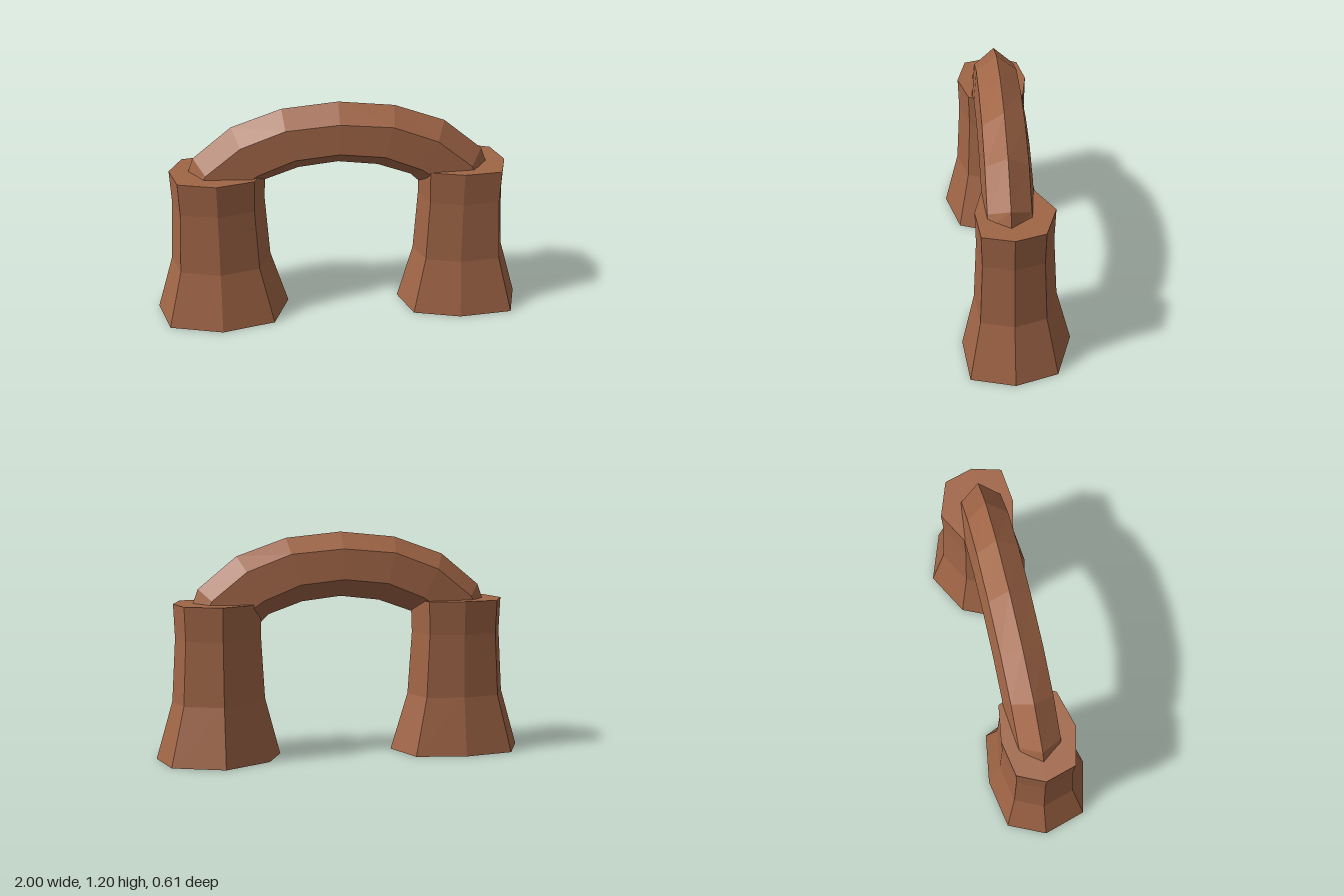
import * as THREE from 'three';

const stone = new THREE.MeshStandardMaterial({ color: 0xa06546, flatShading: true });
stone.name = 'red brown stone';

// Skin a list of closed rings (counter-clockwise about the direction of travel) and cap both ends.
function loft(rings, name) {
  const n = rings[0].length;
  const pos = [];
  const tri = (a, b, c) => pos.push(...a, ...b, ...c);
  for (let r = 0; r < rings.length - 1; r++) {
    const a = rings[r], b = rings[r + 1];
    for (let i = 0; i < n; i++) {
      const j = (i + 1) % n;
      tri(a[i], a[j], b[j]);
      tri(a[i], b[j], b[i]);
    }
  }
  const first = rings[0], last = rings[rings.length - 1];
  for (let i = 1; i < n - 1; i++) {
    tri(first[0], first[i + 1], first[i]);
    tri(last[0], last[i], last[i + 1]);
  }
  const geometry = new THREE.BufferGeometry();
  geometry.setAttribute('position', new THREE.Float32BufferAttribute(pos, 3));
  geometry.computeVertexNormals();
  const mesh = new THREE.Mesh(geometry, stone);
  mesh.name = name;
  return mesh;
}

// Pillar: an uneven octagonal footprint, shrunk about its centre at each height.
const LEVELS = [[0, 1], [0.31, 0.745], [0.65, 0.685], [0.83, 0.705]];
function pillar(name, centre, footprint) {
  const rings = LEVELS.map(([y, s]) =>
    footprint.map(([x, z]) => [centre + (x - centre) * s, y, z * s]));
  return loft(rings, name);
}

// Arch: six-sided section; each station gives [x, y] of ridge, shoulder, lower edge and underside.
const STATIONS = [
  [[0, 1.2], [0, 1.115], [0, 0.955], [0, 0.855]],
  [[0.295, 1.17], [0.28, 1.09], [0.235, 0.93], [0.21, 0.83]],
  [[0.56, 1.075], [0.515, 1.0], [0.43, 0.85], [0.39, 0.765]],
  [[0.765, 0.905], [0.7, 0.85], [0.585, 0.74], [0.51, 0.65]],
  [[0.8, 0.81], [0.73, 0.79], [0.62, 0.7], [0.54, 0.62]],
];
function arch() {
  const ring = ([ridge, shoulder, lower, under], side) => [
    [ridge, 0.01], [shoulder, 0.12], [lower, 0.137],
    [under, 0.005], [lower, -0.125], [shoulder, -0.097],
  ].map(([[x, y], z]) => [x * side, y, z]);
  const leftHalf = STATIONS.map((s) => ring(s, 1));
  const rightHalf = STATIONS.slice(1).reverse().map((s) => ring(s, -1));
  return loft([...rightHalf, ...leftHalf], 'arch');
}

export function createModel() {
  const model = new THREE.Group();
  model.name = 'stoneArch';
  model.add(
    pillar('rightPillar', -0.645, [
      [-0.28, 0], [-0.375, -0.21], [-0.645, -0.25], [-0.91, -0.2],
      [-1, 0], [-0.93, 0.23], [-0.645, 0.3], [-0.365, 0.225],
    ]),
    pillar('leftPillar', 0.65, [
      [1, 0], [0.93, -0.22], [0.655, -0.312], [0.415, -0.18],
      [0.335, 0], [0.405, 0.195], [0.655, 0.255], [0.94, 0.225],
    ]),
    arch(),
  );
  return model;
}
